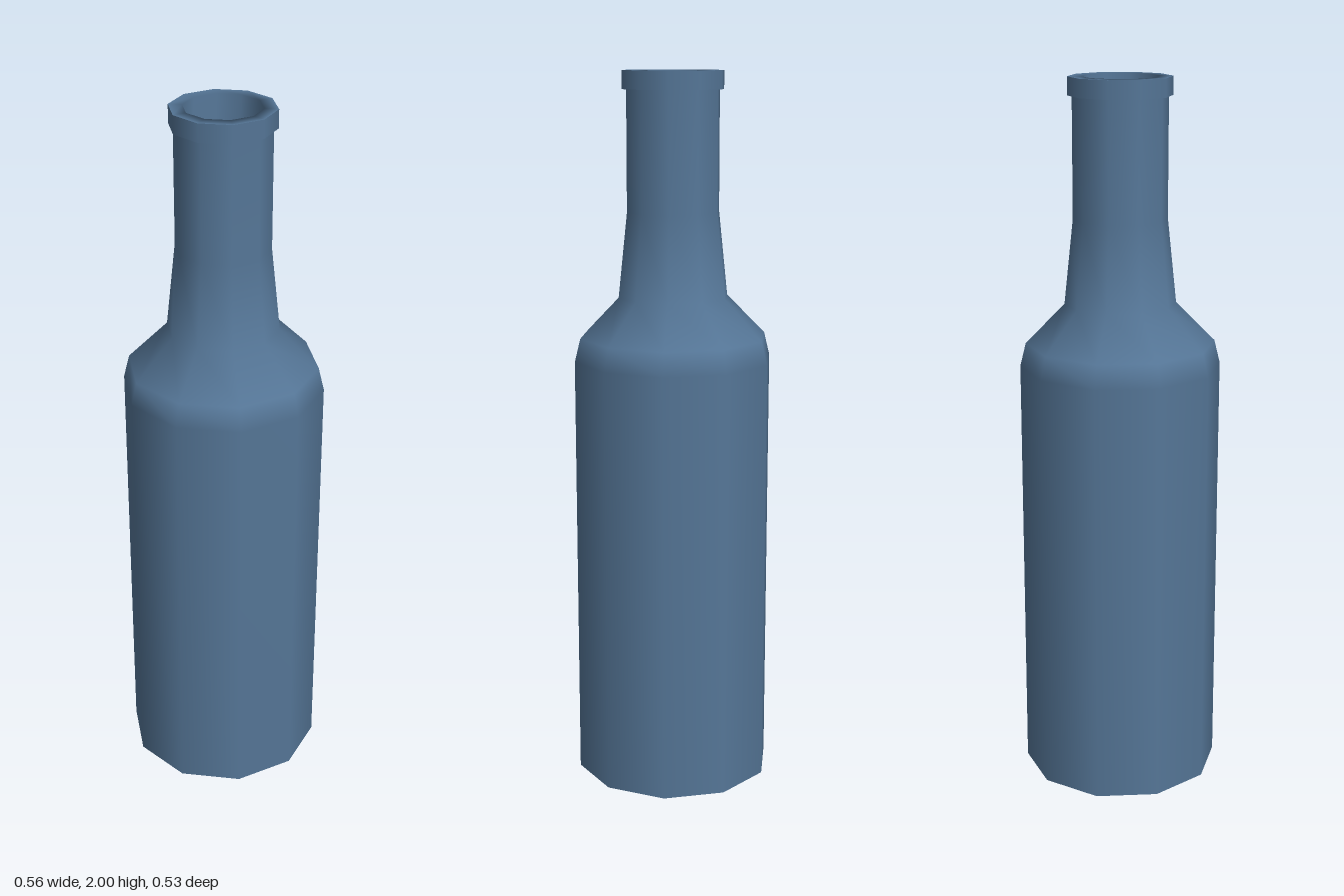
import * as THREE from 'three';

const SIDES = 10;

export function createModel() {
  const bottle = new THREE.Group();
  bottle.name = 'bottle';

  const glass = new THREE.MeshStandardMaterial({ color: 0x557697 });
  glass.name = 'blue glass';

  // Each part is a ten-sided turned profile of [radius, height] points, with a corner on the x axis.
  // Profiles run up the outside and down the inside; separate parts keep the edges between them sharp.
  const turn = (name, profile) => {
    const points = profile.map(([r, y]) => new THREE.Vector2(r, y));
    const mesh = new THREE.Mesh(new THREE.LatheGeometry(points, SIDES, Math.PI / 2), glass);
    mesh.name = name;
    bottle.add(mesh);
  };

  turn('base', [[0, 0], [0.28, 0]]);

  // Straight body, rounded shoulder and tapering neck
  turn('bodyAndNeck', [
    [0.28, 0], [0.28, 1.21], [0.264, 1.275], [0.155, 1.385], [0.13, 1.62], [0.13, 1.95],
  ]);

  // Lip around the mouth
  turn('lipUnderside', [[0.13, 1.95], [0.142, 1.95]]);
  turn('lipSide', [[0.142, 1.95], [0.142, 2]]);

  // Lip top running softly into the bore
  turn('mouth', [[0.142, 2], [0.105, 2], [0.105, 1.5]]);
  turn('boreFloor', [[0.105, 1.5], [0, 1.5]]);

  return bottle;
}
